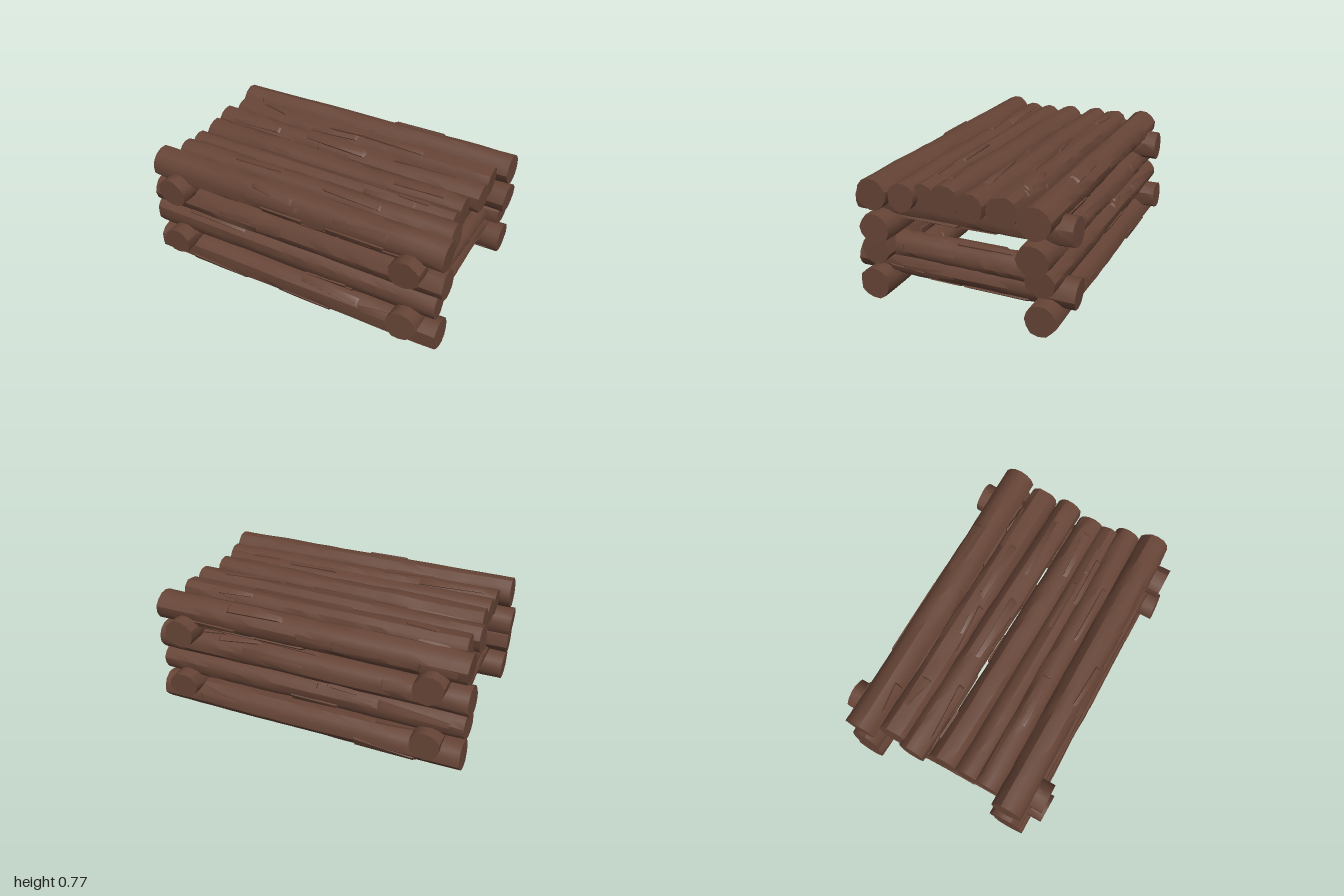
import * as THREE from 'three';
import { toCreasedNormals, mergeGeometries } from 'three/addons/utils/BufferGeometryUtils.js';

// small seeded random generator
let seed = 7;
const rand = () => {
  seed = (seed * 16807) % 2147483647;
  return seed / 2147483647;
};
const jitter = (a) => (rand() * 2 - 1) * a;

const SIDES = 13, SEGS = 18;

// pointed bark flake: a sheet whose rim sinks into the log
function barkFlake(r, len) {
  const g = new THREE.PlaneGeometry(1, 1, 4, 4);
  const p = g.attributes.position;
  const steps = [0, 0.06, 0.45, 0.9, 1];
  const a0 = rand() * Math.PI * 2, width = 0.35 + rand() * 0.4;
  const l = 0.18 + rand() * 0.3, skew = jitter(0.4);
  const y0 = jitter((len - l) * 0.5 - 0.03);
  for (let i = 0; i < p.count; i++) {
    const ix = i % 5, iy = Math.floor(i / 5);
    const u = steps[ix], v = steps[iy];
    const rim = ix === 0 || ix === 4 || iy === 0 || iy === 4;
    const rr = r + (rim ? -0.014 : 0.004);
    const a = a0 + (u - 0.5) * width * (1 - 0.5 * v) + skew * v;
    // the plane's first row is the top, so v runs downwards
    p.setXYZ(i, Math.sin(a) * rr, y0 + (0.5 - v) * l, Math.cos(a) * rr);
  }
  return g;
}

// uneven round log along y, with bark ridges, ledges and flat sawn ends
function logGeometry(r, len) {
  const g = new THREE.CylinderGeometry(r, r, len, SIDES, SEGS);
  const p = g.attributes.position;
  const side = Array.from({ length: SIDES }, () => 0.965 + jitter(0.045));
  const rough = Array.from({ length: SIDES * (SEGS + 1) }, () => jitter(0.02));
  const ledges = Array.from({ length: 7 }, () => ({
    a: Math.floor(rand() * SIDES), w: 1 + Math.floor(rand() * 3),
    s: Math.floor(rand() * SEGS), l: 3 + Math.floor(rand() * 5), d: jitter(0.05),
  }));
  const tilt = [jitter(0.06), jitter(0.06)];
  const phase = rand() * 6;
  for (let i = 0; i < p.count; i++) {
    let x = p.getX(i), y = p.getY(i), z = p.getZ(i);
    const s = Math.round((y / len + 0.5) * SEGS);
    if (Math.hypot(x, z) > 1e-4) {
      const a = (Math.round((Math.atan2(x, z) / (Math.PI * 2)) * SIDES) + SIDES) % SIDES;
      let k = side[a] + rough[s * SIDES + a] + 0.02 * Math.sin(s * 0.7 + phase + a);
      for (const c of ledges) {
        if ((a - c.a + SIDES) % SIDES < c.w && s >= c.s && s < c.s + c.l) k += c.d;
      }
      x *= k;
      z *= k;
    }
    if (s === 0 || s === SEGS) y += x * tilt[0] + z * tilt[1];
    p.setXYZ(i, x, y, z);
  }
  const parts = [g];
  for (let n = 0; n < Math.round(len * 5); n++) parts.push(barkFlake(r, len));
  return toCreasedNormals(mergeGeometries(parts), 0.6);
}

export function createModel() {
  const model = new THREE.Group();
  model.name = 'logPlatform';
  const bark = new THREE.MeshStandardMaterial({ color: 0x66443a, side: THREE.DoubleSide });
  bark.name = 'brown bark';
  bark.color.set(0x664436);

  // lay a log between two points
  function addLog(name, from, to, r) {
    const a = new THREE.Vector3(...from), b = new THREE.Vector3(...to);
    const dir = b.clone().sub(a);
    const mesh = new THREE.Mesh(logGeometry(r, dir.length()), bark);
    mesh.name = name;
    mesh.position.copy(a).add(b).multiplyScalar(0.5);
    mesh.quaternion.setFromUnitVectors(new THREE.Vector3(0, 1, 0), dir.normalize());
    model.add(mesh);
  }

  // long wall logs: name, left end x, right end x, y, z, radius
  const walls = [
    ['frontBottomLog', -0.975, 0.98, 0.098, 0.515, 0.098],
    ['frontLowerLog', -0.99, 0.955, 0.31, 0.51, 0.093],
    ['frontUpperLog', -1, 0.985, 0.455, 0.487, 0.095],
    ['frontTopLog', -0.975, 0.98, 0.66, 0.497, 0.099],
    ['backBottomLog', -0.975, 0.98, 0.098, -0.525, 0.098],
    ['backLowerLog', -0.985, 0.96, 0.31, -0.515, 0.09],
    ['backUpperLog', -0.99, 0.995, 0.447, -0.485, 0.097],
    ['backTopLog', -0.97, 0.99, 0.66, -0.49, 0.099],
  ];
  for (const [name, x0, x1, y, z, r] of walls) addLog(name, [x0, y, z], [x1, y, z], r);

  // deck logs, slightly askew: left x, right x, left z, right z, y, radius
  const deck = [
    [-0.91, 0.93, -0.3, -0.28, 0.66, 0.096],
    [-0.945, 0.945, -0.15, -0.095, 0.662, 0.087],
    [-0.91, 0.9, 0.035, 0.085, 0.655, 0.096],
    [-0.91, 0.9, 0.195, 0.21, 0.66, 0.08],
    [-0.91, 0.95, 0.33, 0.325, 0.655, 0.086],
  ];
  deck.forEach(([x0, x1, z0, z1, y, r], i) => addLog(`deckLog${i + 1}`, [x0, y, z0], [x1, y, z1], r));

  // cross logs at both ends
  for (const [side, x] of [['right', -0.78], ['left', 0.795]]) {
    addLog(`${side}LowerCrossLog`, [x, 0.207, -0.68], [x, 0.207, 0.68], 0.094);
    addLog(`${side}MiddleCrossLog`, [x, 0.298, -0.46], [x, 0.298, 0.46], 0.088);
    addLog(`${side}UpperCrossLog`, [x, 0.57, -0.665], [x, 0.57, 0.67], 0.094);
  }
  return model;
}
